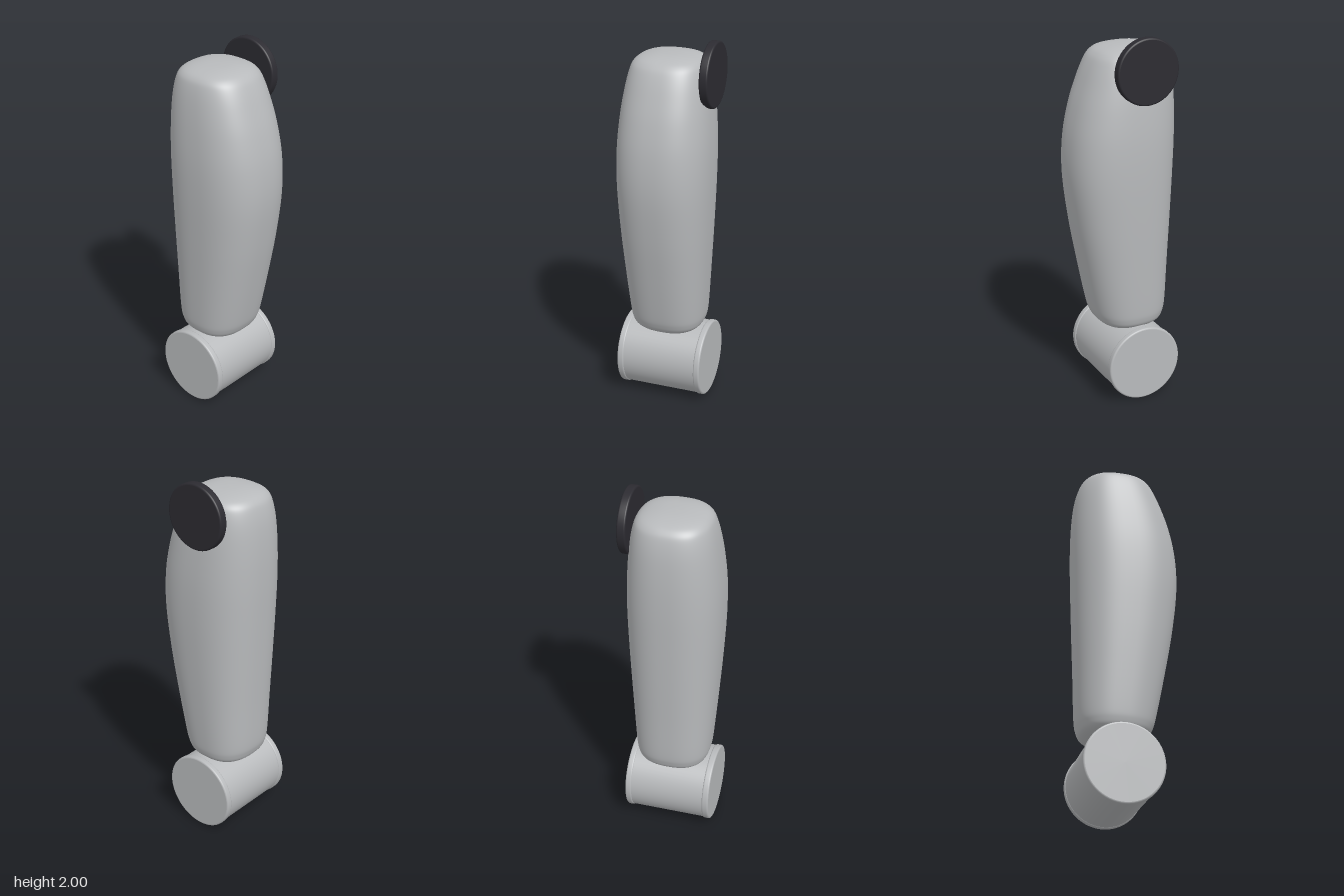
import * as THREE from 'three';

const shell = new THREE.MeshStandardMaterial({ color: 0xb8babc });
shell.name = 'light grey shell';
const dark = new THREE.MeshStandardMaterial({ color: 0x2c2b31 });
dark.name = 'charcoal disc';

// Arm sections: height, left edge, right edge, half depth
const sections = [
  [0.378, -0.05, -0.05, 0],
  [0.382, -0.13, 0.03, 0.08],
  [0.392, -0.18, 0.085, 0.14],
  [0.415, -0.22, 0.12, 0.18],
  [0.45, -0.239, 0.142, 0.197],
  [0.52, -0.251, 0.163, 0.206],
  [0.75, -0.26, 0.21, 0.221],
  [1.0, -0.271, 0.255, 0.235],
  [1.25, -0.281, 0.284, 0.245],
  [1.45, -0.287, 0.278, 0.245],
  [1.62, -0.286, 0.245, 0.234],
  [1.76, -0.276, 0.198, 0.217],
  [1.85, -0.257, 0.158, 0.198],
  [1.89, -0.234, 0.128, 0.178],
  [1.912, -0.195, 0.09, 0.14],
  [1.925, -0.13, 0.03, 0.075],
  [1.929, -0.05, -0.05, 0],
];

// Lofts rounded-square rings through the sections
function armGeometry(rows = 96, sides = 72, power = 2.5) {
  const edges = new THREE.CatmullRomCurve3(
    sections.map(([y, l, r]) => new THREE.Vector3(l, y, r)), false, 'catmullrom', 0.5);
  const depth = new THREE.CatmullRomCurve3(
    sections.map(([y, , , d]) => new THREE.Vector3(0, y, d)), false, 'catmullrom', 0.5);
  const bend = (v) => Math.sign(v) * Math.pow(Math.abs(v), 2 / power);
  const pos = [], index = [];
  for (let i = 0; i <= rows; i++) {
    const e = edges.getPoint(i / rows), d = depth.getPoint(i / rows).z;
    for (let j = 0; j < sides; j++) {
      const a = (j / sides) * Math.PI * 2;
      pos.push((e.x + e.z) / 2 + bend(Math.cos(a)) * (e.z - e.x) / 2, e.y, bend(Math.sin(a)) * d);
      if (i === rows) continue;
      const k = (j + 1) % sides;
      const p = i * sides + j, q = i * sides + k;
      if (i < rows - 1) index.push(p, p + sides, q + sides);
      if (i > 0) index.push(p, q + sides, q);
    }
  }
  const g = new THREE.BufferGeometry();
  g.setAttribute('position', new THREE.Float32BufferAttribute(pos, 3));
  g.setIndex(index);
  g.computeVertexNormals();
  // The end points face straight down and up
  for (let j = 0; j < sides; j++) {
    g.attributes.normal.setXYZ(j, 0, -1, 0);
    g.attributes.normal.setXYZ(rows * sides + j, 0, 1, 0);
  }
  return g;
}

// Disc with rounded rims, its axis along z; flat faces stay crisp
function disc(name, radius, thick, bevel, material, x, y, z) {
  const h = thick / 2, rim = [];
  for (let i = 0; i <= 4; i++) {
    const a = (i / 4) * Math.PI / 2;
    rim.push([radius - bevel + bevel * Math.cos(a), h - bevel + bevel * Math.sin(a)]);
  }
  const half = rim.map(([r, t]) => new THREE.Vector2(r, t));
  const lower = rim.map(([r, t]) => new THREE.Vector2(r, -t)).reverse();
  const profile = [new THREE.Vector2(0, -h), lower[0].clone(), ...lower, ...half,
    half[4].clone(), new THREE.Vector2(0, h)];
  const mesh = new THREE.Mesh(new THREE.LatheGeometry(profile, 64), material);
  mesh.name = name;
  mesh.rotation.x = Math.PI / 2;
  mesh.position.set(x, y, z);
  return mesh;
}

export function createModel() {
  const group = new THREE.Group();
  group.name = 'armLink';

  const arm = new THREE.Mesh(armGeometry(), shell);
  arm.name = 'armShell';
  group.add(arm);

  // Lower joint barrel with an end cap on each side
  const barrel = new THREE.Mesh(new THREE.CylinderGeometry(0.204, 0.204, 0.42, 64, 1, true), shell);
  barrel.name = 'jointBarrel';
  barrel.rotation.x = Math.PI / 2;
  barrel.position.set(-0.048, 0.21, 0);
  group.add(barrel);
  group.add(disc('frontJointCap', 0.209, 0.037, 0.009, shell, -0.048, 0.21, 0.2205));
  group.add(disc('rearJointCap', 0.209, 0.035, 0.009, shell, -0.048, 0.21, -0.2185));

  // Dark mounting disc behind the top
  group.add(disc('upperMountDisc', 0.171, 0.046, 0.009, dark, -0.048, 1.829, -0.227));
  return group;
}
